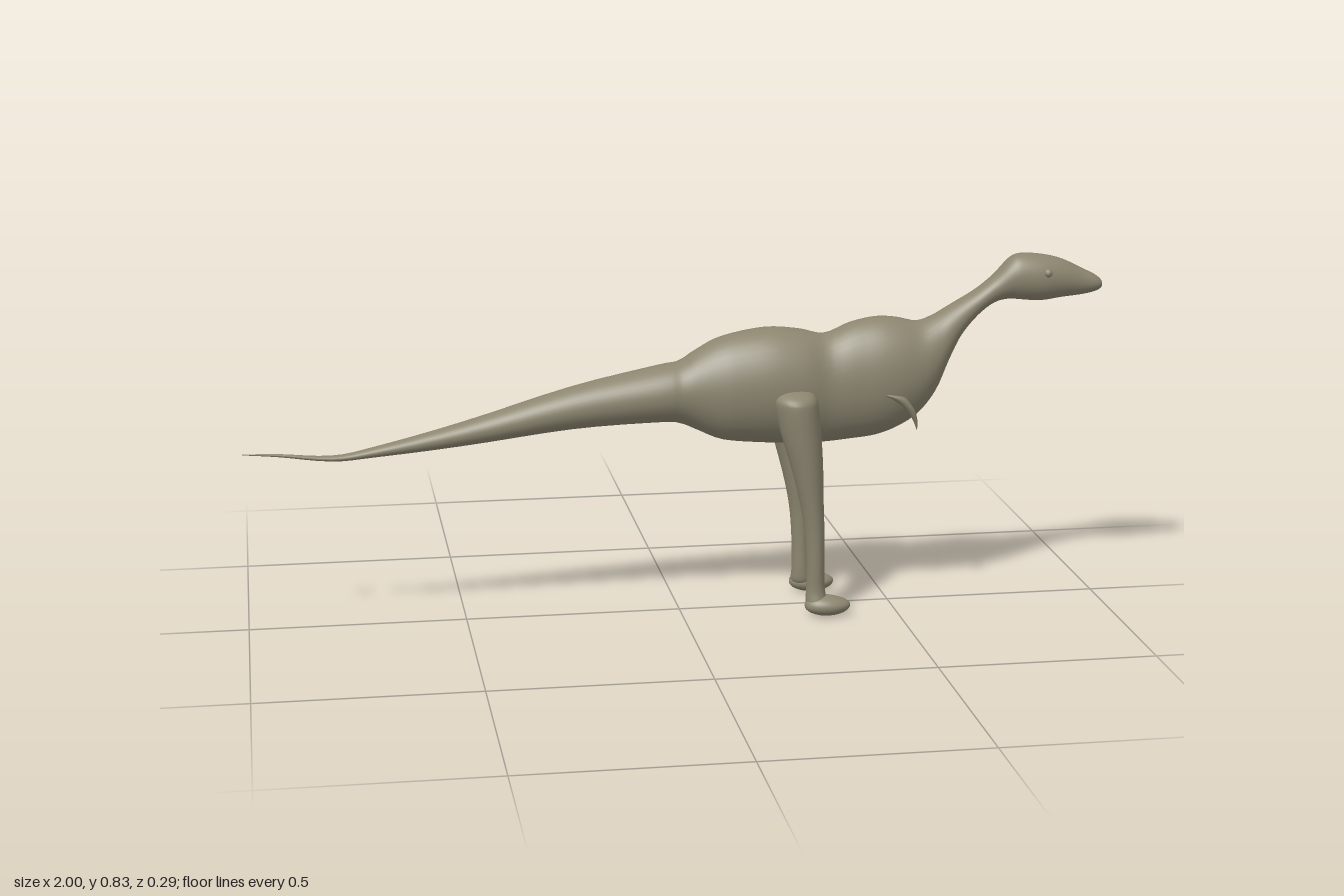
import * as THREE from 'three';

const skin = new THREE.MeshStandardMaterial({ color: 0x8c8670 });
skin.name = 'olive grey skin';

// Smooth loft through cross-sections; place(row, cos, sin) gives a point on the ring.
function loft(rows, place, steps, sides) {
  const rings = [];
  for (let i = 0; i < rows.length - 1; i++) {
    const p = [rows[Math.max(i - 1, 0)], rows[i], rows[i + 1], rows[Math.min(i + 2, rows.length - 1)]];
    for (let s = 0; s < steps; s++) {
      const t = s / steps;
      rings.push(rows[i].map((_, k) => {
        const [a, b, c, d] = p.map((r) => r[k]);
        return b + 0.5 * t * (c - a + t * (2 * a - 5 * b + 4 * c - d + t * (3 * (b - c) + d - a)));
      }));
    }
  }
  rings.push(rows[rows.length - 1]);
  const pos = [], idx = [];
  rings.forEach((r, i) => {
    for (let j = 0; j < sides; j++) {
      const a = (j / sides) * Math.PI * 2;
      pos.push(...place(r, Math.cos(a), Math.sin(a)));
      if (i === rings.length - 1) continue;
      const k = (j + 1) % sides, n = i * sides;
      idx.push(n + j, n + k, n + sides + j, n + k, n + sides + k, n + sides + j);
    }
  });
  const g = new THREE.BufferGeometry();
  g.setAttribute('position', new THREE.Float32BufferAttribute(pos, 3));
  g.setIndex(idx);
  g.computeVertexNormals();
  return g;
}

function mesh(name, geometry) {
  const m = new THREE.Mesh(geometry, skin);
  m.name = name;
  return m;
}

// Body sections along x: x, top, bottom, half width
const tail = [
  [-1, 0.421, 0.419, 0.001], [-0.92, 0.418, 0.411, 0.004], [-0.8, 0.408, 0.395, 0.011],
  [-0.7, 0.424, 0.4, 0.018], [-0.5, 0.472, 0.417, 0.033], [-0.25, 0.545, 0.447, 0.052],
  [-0.05, 0.588, 0.456, 0.069], [0, 0.597, 0.452, 0.069],
];
const torso = [
  [0.04, 0.622, 0.435, 0.074], [0.1, 0.652, 0.41, 0.088], [0.2, 0.67, 0.399, 0.1],
  [0.28, 0.664, 0.395, 0.097], [0.34, 0.652, 0.395, 0.082], [0.4, 0.675, 0.4, 0.084],
  [0.46, 0.687, 0.407, 0.089], [0.51, 0.684, 0.424, 0.087], [0.56, 0.674, 0.455, 0.077],
  [0.6, 0.688, 0.505, 0.064], [0.63, 0.705, 0.575, 0.052],
];
const neckAndHead = [
  [0.66, 0.722, 0.635, 0.042], [0.7, 0.746, 0.683, 0.035], [0.74, 0.778, 0.712, 0.034],
  [0.775, 0.815, 0.72, 0.04], [0.8, 0.826, 0.718, 0.045], [0.85, 0.823, 0.714, 0.048],
  [0.9, 0.811, 0.72, 0.041], [0.95, 0.787, 0.725, 0.03], [0.98, 0.772, 0.731, 0.023],
  [0.995, 0.76, 0.738, 0.014], [1, 0.75, 0.746, 0.001],
];

// Leg sections upward: y, back x, front x, inner z, outer z
const legRows = [
  [0.02, 0.3, 0.325, 0.08, 0.1], [0.03, 0.285, 0.335, 0.065, 0.118], [0.06, 0.286, 0.33, 0.062, 0.112],
  [0.12, 0.286, 0.327, 0.062, 0.116], [0.2, 0.281, 0.326, 0.06, 0.121], [0.27, 0.269, 0.323, 0.054, 0.128],
  [0.36, 0.246, 0.32, 0.047, 0.138], [0.44, 0.222, 0.315, 0.036, 0.144], [0.5, 0.208, 0.309, 0.03, 0.146],
  [0.522, 0.208, 0.304, 0.03, 0.14], [0.536, 0.222, 0.292, 0.04, 0.112], [0.54, 0.25, 0.262, 0.07, 0.085],
];

// Arm sections downward along a small hooked claw: x, y, z, radius
const armRows = [
  [0.545, 0.432, 0.076, 0.0005], [0.54, 0.455, 0.079, 0.005], [0.53, 0.478, 0.081, 0.009],
  [0.515, 0.496, 0.08, 0.013], [0.495, 0.512, 0.074, 0.02], [0.47, 0.52, 0.062, 0.026],
];

function createSide(name) {
  const side = new THREE.Group();
  side.name = name;

  side.add(mesh('leg', loft(legRows, ([y, x0, x1, z0, z1], c, s) => [
    (x0 + x1) / 2 + s * (x1 - x0) / 2, y, (z0 + z1) / 2 + c * (z1 - z0) / 2,
  ], 3, 28)));

  // Foot, flattened underneath and lower at the toe
  const foot = new THREE.SphereGeometry(1, 28, 18);
  const p = foot.attributes.position;
  for (let i = 0; i < p.count; i++) {
    const x = p.getX(i), y = p.getY(i);
    p.setXYZ(i, 0.335 + x * 0.054, 0.024 + y * (y > 0 ? 0.024 - x * 0.006 : 0.024), 0.096 + p.getZ(i) * 0.034);
  }
  foot.computeVertexNormals();
  side.add(mesh('foot', foot));

  side.add(mesh('arm', loft(armRows, ([x, y, z, r], c, s) => [x + s * r, y, z + c * r], 3, 14)));

  const eye = mesh('eye', new THREE.SphereGeometry(0.01, 16, 12));
  eye.position.set(0.857, 0.785, 0.043);
  side.add(eye);
  return side;
}

export function createModel() {
  const model = new THREE.Group();
  model.name = 'longTailedDinosaur';

  // Tail, torso, neck and head in one skin; the tail drifts slightly sideways
  model.add(mesh('body', loft([...tail, ...torso, ...neckAndHead], ([x, top, bottom, w], c, s) => [
    x, (top + bottom) / 2 + c * (top - bottom) / 2, s * w + (x < -0.5 ? (-0.5 - x) * 0.04 : 0) - (x < 0.1 ? 0.002 : 0),
  ], 4, 40)));

  const rightSide = createSide('nearLimbsAndEye');
  const leftSide = createSide('farLimbsAndEye');
  leftSide.scale.z = -1;
  model.add(rightSide, leftSide);
  return model;
}
